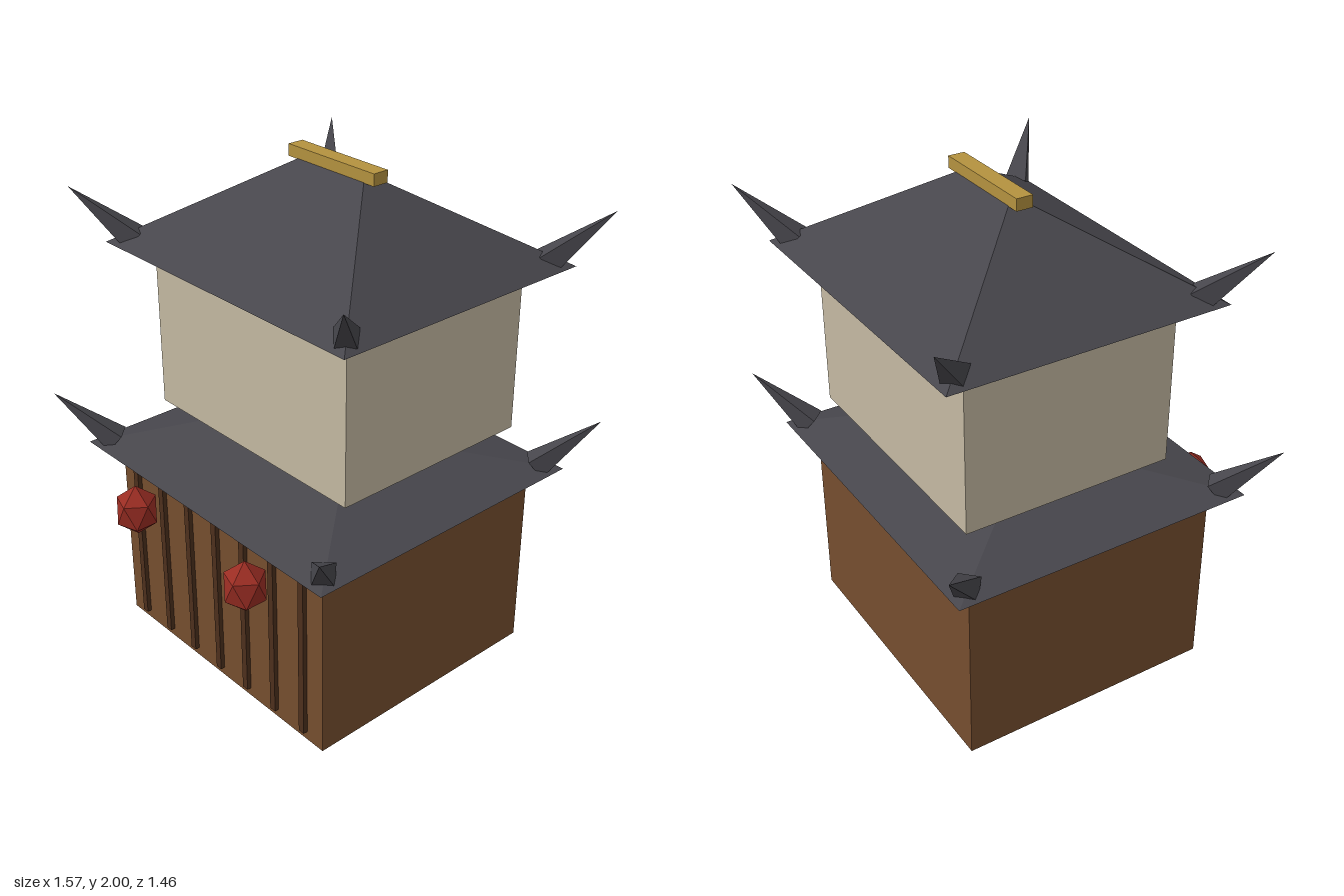
import * as THREE from 'three';
import { ConvexGeometry } from 'three/addons/geometries/ConvexGeometry.js';

const material = (name, color) => {
  const m = new THREE.MeshStandardMaterial({ color, flatShading: true });
  m.name = name;
  return m;
};

export function createModel() {
  const timber = material('timber brown', 0x764e2f);
  const slatWood = material('dark slat brown', 0x4d301d);
  const plaster = material('cream plaster', 0xc4b9a2);
  const tile = material('charcoal roof tile', 0x47464c);
  const gold = material('ridge gold', 0xb4923f);
  const red = material('lantern red', 0x9a2d23);

  const model = new THREE.Group();
  model.name = 'pagoda';

  const add = (name, geometry, mat, x, y, z, parent = model) => {
    const mesh = new THREE.Mesh(geometry, mat);
    mesh.name = name;
    mesh.position.set(x, y, z);
    parent.add(mesh);
    return mesh;
  };

  // Hipped roof: a box whose top is drawn in to a narrow ridge
  function hipRoof(hx, hz, height, ridgeX, ridgeZ) {
    const geometry = new THREE.BoxGeometry(2 * hx, height, 2 * hz).toNonIndexed();
    const p = geometry.attributes.position;
    for (let i = 0; i < p.count; i++) {
      if (p.getY(i) > 0) {
        p.setX(i, Math.sign(p.getX(i)) * ridgeX);
        p.setZ(i, Math.sign(p.getZ(i)) * ridgeZ);
      }
    }
    geometry.translate(0, height / 2, 0);
    geometry.computeVertexNormals();
    return geometry;
  }

  // Upturned corner spike: square base on the hip, tip leaning out along +z
  const hornLength = 0.31;
  const hornGeometry = new THREE.ConeGeometry(0.06, hornLength, 4, 1)
    .rotateY(Math.PI / 4)
    .translate(0, hornLength / 2, 0)
    .rotateX(THREE.MathUtils.degToRad(50));

  // One roof tier with its ridge bar and four horns
  function roofTier(name, { y, z, hx, hz, height, ridgeX, barX }) {
    const tier = new THREE.Group();
    tier.name = name;
    tier.position.set(0, y, z);
    model.add(tier);
    add('hippedRoof', hipRoof(hx, hz, height, ridgeX, 0.033), tile, 0, 0, 0, tier);
    add('ridgeBar', new THREE.BoxGeometry(2 * barX, 0.046, 0.066), gold, 0, height + 0.021, 0, tier);
    for (const sx of [-1, 1]) {
      for (const sz of [-1, 1]) {
        const horn = add('cornerHorn', hornGeometry, tile, sx * (hx - 0.077), 0.015, sz * (hz - 0.08), tier);
        horn.rotation.y = Math.atan2(sx, sz);
      }
    }
  }

  // Lower storey
  add('lowerWalls', new THREE.BoxGeometry(1.194, 0.8, 1.06), timber, 0, 0.4, -0.005);
  for (let i = -3; i <= 3; i++) {
    add('frontSlat', new THREE.BoxGeometry(0.028, 0.73, 0.03), slatWood, i * 0.166, 0.402, 0.528);
  }
  roofTier('lowerRoof', { y: 0.8, z: -0.005, hx: 0.695, hz: 0.625, height: 0.16, ridgeX: 0.19, barX: 0.24 });

  // Upper storey
  add('upperWalls', new THREE.BoxGeometry(1.06, 0.67, 0.862), plaster, 0, 1.299, -0.07);
  roofTier('upperRoof', { y: 1.63, z: -0.073, hx: 0.66, hz: 0.565, height: 0.326, ridgeX: 0.175, barX: 0.225 });

  // Hanging lanterns: two poles and two staggered rings of five points
  const points = [new THREE.Vector3(0, 0.108, 0), new THREE.Vector3(0, -0.108, 0)];
  for (let i = 0; i < 5; i++) {
    const a = (i / 5) * Math.PI * 2;
    const x = 0.078 * Math.cos(a), z = 0.078 * Math.sin(a);
    points.push(new THREE.Vector3(x, 0.048, z), new THREE.Vector3(-x, -0.048, -z));
  }
  const lanternGeometry = new ConvexGeometry(points);
  for (const side of [-1, 1]) add('lantern', lanternGeometry, red, side * 0.332, 0.668, 0.656);

  return model;
}
